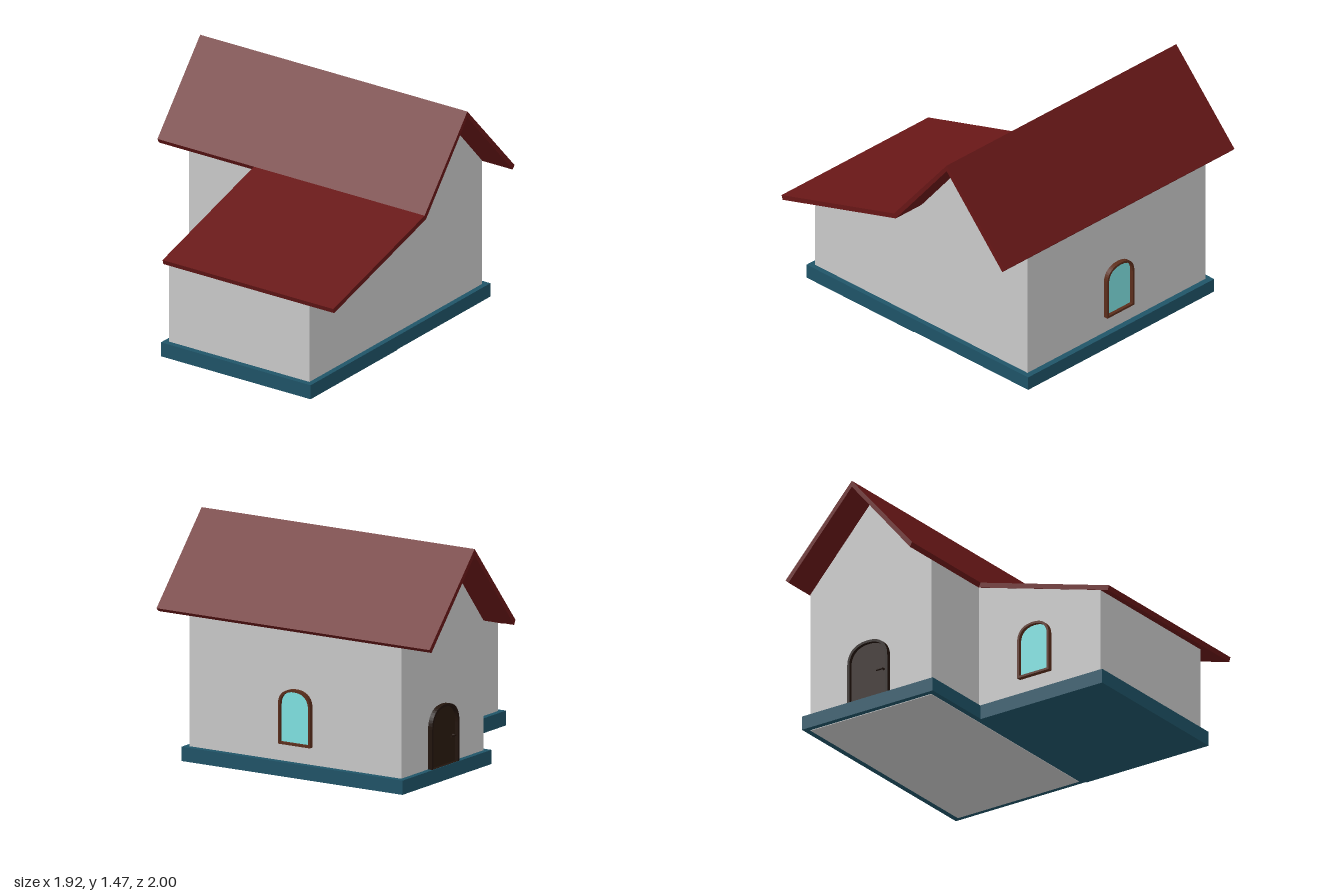
import * as THREE from 'three';

const mat = (color, side = THREE.FrontSide) => new THREE.MeshStandardMaterial({ color, side });
const WALL = mat(0xcccccc), ROOF = mat(0x681717), BASE = mat(0x1f5468);
const FRAME = mat(0x5c2e1c), GLASS = mat(0x80e4e4), DOOR = mat(0x2a1a0f), DOOR_FRAME = mat(0x22140c);

function add(parent, name, geometry, material) {
  const mesh = new THREE.Mesh(geometry, material);
  mesh.name = name;
  parent.add(mesh);
  return mesh;
}

// Extrudes an outline in the xy plane from z0 to z1
function prism(points, z0, z1) {
  const shape = new THREE.Shape(points.map(([x, y]) => new THREE.Vector2(x, y)));
  return new THREE.ExtrudeGeometry(shape, { depth: z1 - z0, bevelEnabled: false }).translate(0, 0, z0);
}

// Box given by its limits
function block(x0, x1, y0, y1, z0, z1) {
  return new THREE.BoxGeometry(x1 - x0, y1 - y0, z1 - z0)
    .translate((x0 + x1) / 2, (y0 + y1) / 2, (z0 + z1) / 2);
}

// Round-topped outline standing on y = y0
function arch(path, halfWidth, y0, y1) {
  const rise = halfWidth * 0.9, spring = y1 - rise, k = 0.64;
  path.moveTo(-halfWidth, y0);
  path.lineTo(halfWidth, y0);
  path.lineTo(halfWidth, spring);
  path.bezierCurveTo(halfWidth, spring + rise * k, halfWidth * k, y1, 0, y1);
  path.bezierCurveTo(-halfWidth * k, y1, -halfWidth, spring + rise * k, -halfWidth, spring);
  path.closePath();
  return path;
}

// Arched frame with a recessed panel, facing +z
function opening(name, width, height, border, sill, frameMat, panelMat, panelName) {
  const group = new THREE.Group();
  group.name = name;
  const frame = arch(new THREE.Shape(), width / 2, 0, height);
  frame.holes.push(arch(new THREE.Path(), width / 2 - border, sill, height - border));
  const options = { bevelEnabled: false, curveSegments: 12 };
  add(group, 'frame', new THREE.ExtrudeGeometry(frame, { ...options, depth: 0.04 }).translate(0, 0, -0.01), frameMat);
  const panel = arch(new THREE.Shape(), width / 2 - border / 2, sill / 2, height - border / 2);
  add(group, panelName, new THREE.ExtrudeGeometry(panel, { ...options, depth: 0.018 }).translate(0, 0, -0.01), panelMat);
  return group;
}

export function createModel() {
  const house = new THREE.Group();
  house.name = 'house';

  // Plinth under the main house and the side wing
  add(house, 'mainPlinth', block(-0.02, 0.96, 0.004, 0.093, -0.81, 0.81), BASE);
  add(house, 'wingPlinth', block(-0.933, -0.02, 0, 0.093, -0.31, 0.81), BASE);

  // Walls: gabled rear end, then the full width with the lean-to wing
  const gable = [[0.92, 0], [0.92, 0.925], [0.45, 1.44], [0.015, 0.92]];
  add(house, 'rearWalls', prism([[0.015, 0], ...gable], -0.775, -0.275), WALL);
  add(house, 'frontWalls',
    prism([[-0.895, 0.05], [0.015, 0.05], [0.015, 0], ...gable, [-0.895, 0.655]], -0.275, 0.775), WALL);

  // Gable roof along the whole depth
  add(house, 'mainRoof', prism([
    [0, 0.937], [0.015, 0.908], [0.45, 1.43], [0.925, 0.912], [0.947, 0.934], [0.45, 1.47],
  ], -1, 1), ROOF);

  // Shallow roof over the wing
  add(house, 'wingRoof', prism([
    [-0.961, 0.66], [-0.952, 0.63], [0.015, 0.908], [0, 0.937],
  ], -0.278, 1), ROOF);

  // Windows
  const sideWindow = opening('sideWindow', 0.235, 0.35, 0.014, 0.014, FRAME, GLASS, 'glass');
  sideWindow.position.set(0.92, 0.203, -0.008);
  sideWindow.rotation.y = Math.PI / 2;
  const rearWindow = opening('rearWindow', 0.235, 0.35, 0.014, 0.014, FRAME, GLASS, 'glass');
  rearWindow.position.set(-0.41, 0.203, -0.275);
  rearWindow.rotation.y = Math.PI;

  // Rear door with a lever handle
  const door = opening('door', 0.3, 0.387, 0.016, 0.004, DOOR_FRAME, DOOR, 'doorPanel');
  door.position.set(0.474, 0.09, -0.775);
  door.rotation.y = Math.PI;
  const stem = add(door, 'handleStem', new THREE.CylinderGeometry(0.007, 0.007, 0.02, 12), DOOR_FRAME);
  stem.rotation.x = Math.PI / 2;
  stem.position.set(0.11, 0.17, 0.016);
  const lever = add(door, 'handleLever', new THREE.CylinderGeometry(0.006, 0.006, 0.05, 12), DOOR_FRAME);
  lever.rotation.z = Math.PI / 2;
  lever.position.set(0.09, 0.17, 0.026);

  house.add(sideWindow, rearWindow, door);
  return house;
}
